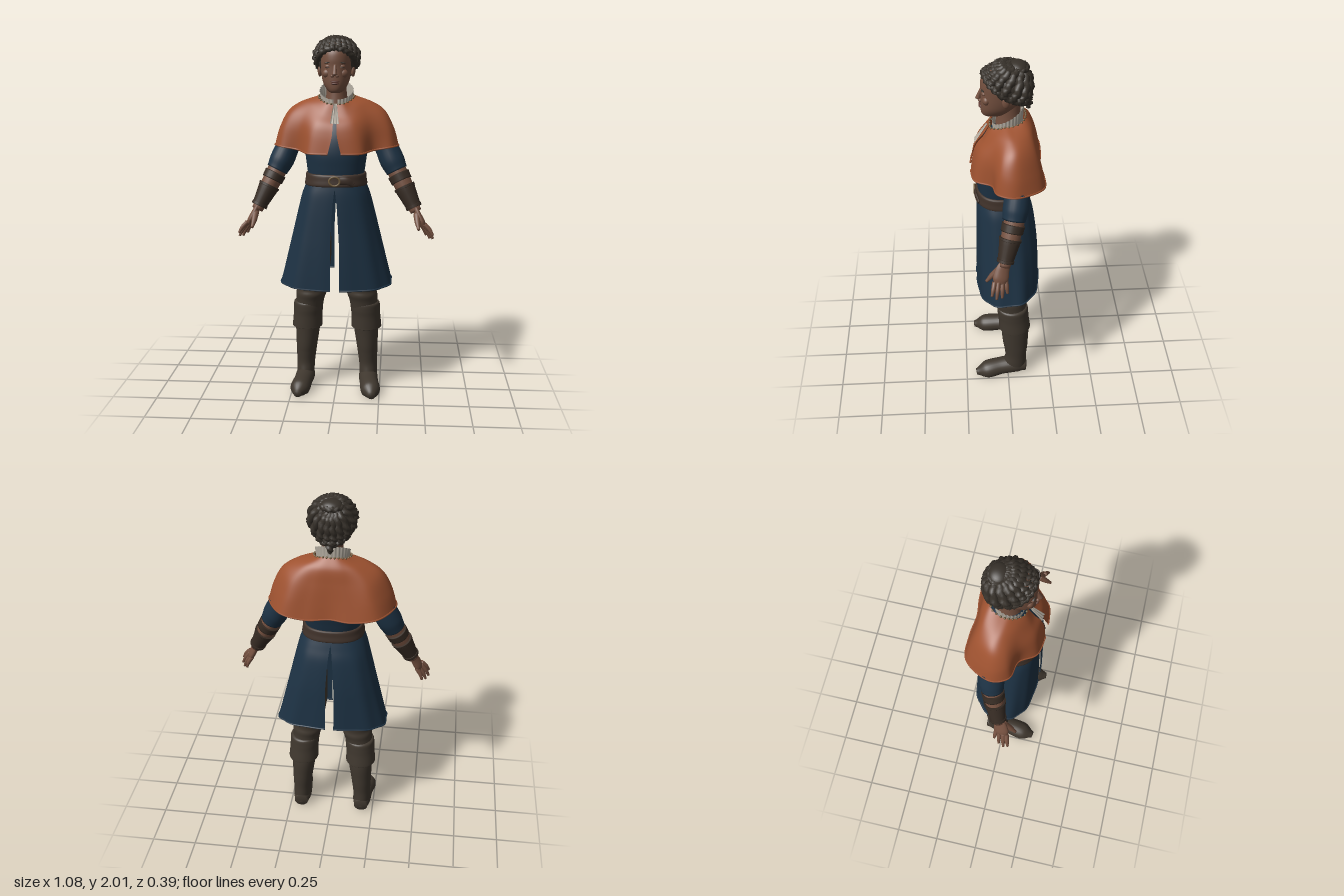
import * as THREE from 'three';

const V = (x, y, z) => new THREE.Vector3(x, y, z);
const mat = (name, color, side = THREE.FrontSide) => {
  const m = new THREE.MeshStandardMaterial({ color, side });
  m.name = name;
  return m;
};
const M = {
  skin: mat('skin', 0x74503f), lip: mat('lip', 0x5f3a32), hair: mat('hair', 0x37312a),
  cape: mat('orange cape wool', 0x9e5230, THREE.DoubleSide), coat: mat('navy coat', 0x1d3244, THREE.DoubleSide),
  linen: mat('linen', 0xb3aca0, THREE.DoubleSide), belt: mat('belt leather', 0x40322a),
  boot: mat('boot leather', 0x40382f), bracer: mat('bracer leather', 0x372c24), brass: mat('brass', 0x6e5a3c),
};

// Smooth interpolation through rows of numbers
function sample(rows, t) {
  const n = rows.length - 1, f = t * n, i = Math.min(Math.floor(f), n - 1), k = f - i;
  const r = j => rows[Math.max(0, Math.min(n, j))];
  return rows[0].map((_, c) => {
    const [p, a, b, q] = [r(i - 1)[c], r(i)[c], r(i + 1)[c], r(i + 2)[c]];
    return a + 0.5 * k * (b - p + k * (2 * p - 5 * a + 4 * b - q + k * (3 * (a - b) + q - p)));
  });
}

// Surface from a point rule; u runs around, v runs along
function grid(fn, nu, nv, closed) {
  const pos = [], idx = [], w = closed ? nu : nu + 1;
  for (let j = 0; j <= nv; j++) for (let i = 0; i < w; i++) pos.push(...fn(i / nu, j / nv).toArray());
  for (let j = 0; j < nv; j++) for (let i = 0; i < nu; i++) {
    const a = j * w + i, b = j * w + (i + 1) % w;
    idx.push(a, a + w, b, b, a + w, b + w);
  }
  const g = new THREE.BufferGeometry();
  g.setAttribute('position', new THREE.Float32BufferAttribute(pos, 3));
  g.setIndex(idx);
  g.computeVertexNormals();
  return g;
}

const pw = (x, p) => Math.sign(x) * Math.abs(x) ** p;
// Rounded ring of a row [y, halfWidth, zFront, zBack, centreX]
function ringPoint([y, hw, zf, zb, cx = 0], a, p) {
  return V(cx + hw * pw(Math.sin(a), p), y, (zf + zb) / 2 + (zf - zb) / 2 * pw(Math.cos(a), p));
}
const shell = (rows, { p = 1, nu = 40, nv = 40 } = {}) =>
  grid((u, v) => ringPoint(sample(rows, v), u * Math.PI * 2, p), nu, nv, true);

// Capped tube with changing radius; ref and flat squash it, twist makes a rope
function tube(pts, radii, { n = 24, sides = 16, ref, flat = 1, twist = 0, floor = false } = {}) {
  const curve = new THREE.CatmullRomCurve3(pts), fr = curve.computeFrenetFrames(n), rr = radii.map(r => [r]);
  return grid((u, v) => {
    const j = Math.round(v * (n + 2)), i = Math.max(0, Math.min(n, j - 1)), t = i / n, th = -u * Math.PI * 2;
    let N = fr.normals[i], B = fr.binormals[i];
    if (ref) {
      const T = fr.tangents[i];
      N = ref.clone().addScaledVector(T, -ref.dot(T)).normalize();
      B = T.clone().cross(N);
    }
    const cap = j === 0 || j === n + 2 ? 0 : 1;
    const r = cap * sample(rr, t)[0] * (twist ? 1 + 0.25 * Math.cos(2 * th + twist * t) : 1);
    const q = curve.getPoint(t).addScaledVector(N, r * Math.cos(th)).addScaledVector(B, r * flat * Math.sin(th));
    if (floor) q.y = Math.max(0, q.y);
    return q;
  }, sides, n + 2, true);
}

export function createModel() {
  const model = new THREE.Group();
  model.name = 'figure';
  const add = (name, geo, m) => {
    const mesh = new THREE.Mesh(geo, m);
    mesh.name = name;
    model.add(mesh);
    return mesh;
  };
  const ball = (name, m, x, y, z, rx, ry, rz) => {
    const b = add(name, new THREE.SphereGeometry(1, 24, 16), m);
    b.position.set(x, y, z);
    b.scale.set(rx, ry, rz);
    return b;
  };

  // Head, neck and face
  add('head', shell([[1.985, .01, .03, .0], [1.96, .06, .09, -.07], [1.92, .078, .122, -.09], [1.88, .083, .131, -.095],
    [1.84, .083, .13, -.09], [1.79, .078, .131, -.08], [1.75, .067, .131, -.05], [1.718, .047, .127, -.02],
    [1.703, .028, .112, .03], [1.7, .004, .08, .06]], { p: .92 }), M.skin);
  add('neck', shell([[1.78, .055, .045, -.075], [1.7, .055, .05, -.075], [1.6, .07, .06, -.08]], { nv: 8 }), M.skin);
  add('nose', tube([V(0, 1.85, .124), V(0, 1.82, .136), V(0, 1.797, .143)], [.009, .011, .014], { n: 10 }), M.skin);
  ball('upperLip', M.lip, 0, 1.764, .13, .024, .006, .011);
  ball('lowerLip', M.lip, 0, 1.753, .129, .021, .007, .011);
  for (const s of [1, -1]) {
    ball('nostril', M.skin, s * .013, 1.793, .132, .01, .008, .011);
    ball('cheek', M.skin, s * .042, 1.805, .102, .026, .024, .02);
    ball('eyelid', M.skin, s * .036, 1.842, .113, .018, .011, .012);
    ball('eye', M.bracer, s * .036, 1.838, .117, .014, .003, .009);
    ball('eyebrow', M.hair, s * .037, 1.862, .119, .02, .0035, .008).rotation.z = -s * .12;
    ball('ear', M.skin, s * .09, 1.815, .005, .012, .032, .02);
  }

  // Braided hair gathered into a bun
  ball('hairCap', M.hair, 0, 1.882, -.014, .11, .106, .108);
  const hairline = f => V(.1 * Math.sin(f), 1.858 + .077 * Math.cos(f), .112 * Math.cos(f) + .02 * Math.sin(f) ** 2);
  const centre = V(0, 1.87, -.008), knot = V(0, 1.965, -.056), braids = 18;
  for (let k = 0; k < braids; k++) {
    const start = hairline((k + .5) / braids * Math.PI * 2);
    const via = t => start.clone().lerp(knot, t).sub(centre).setLength(.116).add(centre);
    add('braid', tube([start, via(.3), via(.62), knot], [.018, .02, .018, .011], { n: 36, sides: 10, twist: 34 }), M.hair);
  }
  const rim = Array.from({ length: 33 }, (_, i) => hairline(i / 32 * Math.PI * 2));
  add('hairlineBraid', tube(rim, [.016, .016], { n: 120, sides: 10, twist: 130 }), M.hair);
  add('napeBraid', tube([V(0, 1.8, -.108), V(0, 1.765, -.116), V(0, 1.733, -.112)], [.02, .019, .009], { twist: 16 }), M.hair);
  ball('bun', M.hair, 0, 1.966, -.056, .058, .034, .052);
  const coil = Array.from({ length: 17 }, (_, i) => V(.05 * Math.sin(i * Math.PI / 8), 1.965, -.056 + .046 * Math.cos(i * Math.PI / 8)));
  add('bunCoil', tube(coil, [.014, .014], { n: 64, sides: 10, twist: 70 }), M.hair);

  // Pleated linen collar, low and open at the front
  add('collar', grid((u, v) => {
    const a = .12 + u * (Math.PI * 2 - .24), c = Math.cos(a), k = 1 - v, f = .0025 * Math.cos(a * 28) * k;
    return V((.083 + .008 * k + f) * Math.sin(a), 1.63 - .03 * c + k * (.082 - .018 * c), -.008 + (.078 + .004 * k + f) * c);
  }, 160, 8), M.linen);
  add('jabot', grid((u, v) => V((u - .5) * (.018 + .03 * v), 1.645 - .1 * v, .1 + .066 * v + .003 * Math.cos(u * 20)), 20, 8), M.linen);

  // Shoulder cape: half outlines from neck to hem, mirrored
  const levels = [
    [[.005, 1.64, .085], [.045, 1.645, .08], [.08, 1.66, .045], [.095, 1.675, .01], [.095, 1.68, -.03], [.075, 1.69, -.075], [.04, 1.7, -.095], [0, 1.7, -.1]],
    [[.008, 1.58, .118], [.07, 1.59, .112], [.13, 1.63, .06], [.18, 1.648, .005], [.187, 1.65, -.045], [.14, 1.65, -.108], [.07, 1.65, -.132], [0, 1.65, -.136]],
    [[.01, 1.53, .157], [.1, 1.54, .142], [.175, 1.57, .078], [.25, 1.59, .025], [.26, 1.6, -.05], [.195, 1.58, -.138], [.09, 1.57, -.152], [0, 1.57, -.152]],
    [[.015, 1.47, .177], [.12, 1.48, .158], [.195, 1.5, .088], [.29, 1.51, .042], [.312, 1.5, -.05], [.228, 1.49, -.162], [.11, 1.48, -.172], [0, 1.48, -.166]],
    [[.035, 1.385, .19], [.14, 1.385, .17], [.205, 1.395, .085], [.305, 1.41, .06], [.34, 1.41, -.04], [.258, 1.4, -.175], [.12, 1.38, -.193], [0, 1.385, -.18]],
  ].map(h => [...h, ...h.slice(0, 7).reverse().map(([x, y, z]) => [-x, y, z])]);
  const capePoint = (u, v) => V(...sample(levels.map(l => sample(l, u)), v));
  add('cape', grid(capePoint, 112, 28), M.cape);
  const capeEdge = v => Array.from({ length: 57 }, (_, i) => capePoint(i / 56, v));
  add('capeHem', tube(capeEdge(1), [.005, .005], { n: 112, sides: 6 }), M.cape);
  capeEdge(0).forEach((p, i) => { if (i % 2 === 0) ball('necklineBead', M.brass, p.x, p.y, p.z, .006, .006, .006); });

  // Coat body
  add('coatBody', shell([[1.64, .05, .03, -.06], [1.61, .1, .07, -.09], [1.55, .155, .115, -.12], [1.47, .172, .15, -.135],
    [1.38, .17, .165, -.135], [1.3, .16, .16, -.116], [1.24, .154, .154, -.104], [1.18, .17, .156, -.118]], { p: .85 }), M.coat);
  // Flared skirt in two panels, slit at front and back
  const skirt = [[1.22, .158, .154, -.105], [1.16, .184, .161, -.125], [1.08, .206, .164, -.148], [.94, .24, .166, -.166],
    [.8, .274, .168, -.174], [.645, .312, .168, -.179]];
  for (const s of [1, -1]) {
    const point = (u, v) => {
      const a = Math.PI * (s > 0 ? u : 1 + u), gap = .024 * Math.min(1, Math.max(0, v - .1) * 1.8), row = sample(skirt, v);
      const fold = 1 + .014 * Math.cos(a * 10) * v;
      row[1] *= fold; row[2] *= fold; row[3] *= fold;
      const q = ringPoint(row, a, .8);
      q.x = s * (gap + Math.abs(q.x) * (1 - gap / row[1]));
      q.y -= .022 * Math.cos(a) * v * v;
      return q;
    };
    add('skirtPanel', grid(point, 64, 30), M.coat);
    const hem = Array.from({ length: 41 }, (_, i) => point(i / 40, 1));
    add('skirtHem', tube(hem, [.005, .005], { n: 80, sides: 6 }), M.coat);
  }

  // Belt with buckle and tucked end
  add('belt', shell([[1.268, .15, .15, -.1], [1.264, .165, .164, -.114], [1.235, .168, .167, -.117], [1.205, .172, .168, -.121],
    [1.2, .158, .152, -.105]], { p: .85, nv: 16 }), M.belt);
  const buckle = add('buckle', new THREE.TorusGeometry(.024, .005, 8, 24), M.brass);
  buckle.position.set(0, 1.235, .172);
  buckle.scale.set(1.2, 1, 1);
  add('beltEnd', tube([V(.025, 1.238, .168), V(.07, 1.236, .164), V(.1, 1.215, .152)], [.02, .02, .014],
    { ref: V(0, 1, 0), flat: .4 }), M.belt);

  for (const s of [1, -1]) {
    const P = (x, y, z) => V(s * x, y, z);
    // Sleeve, forearm and leather bracer
    add('sleeve', tube([P(.13, 1.58, -.04), P(.195, 1.53, -.045), P(.262, 1.42, -.045), P(.306, 1.325, -.033), P(.334, 1.268, -.022)],
      [.05, .06, .063, .068, .06], { n: 32, sides: 24 }), M.coat);
    const along = y => P(.322 + (1.29 - y) * .5, y, -.03 + (1.29 - y) * .27);
    add('forearm', tube([along(1.3), along(1.18), along(1.05)], [.054, .05, .031], { sides: 20 }), M.skin);
    const cuff = (name, y0, y1, r0, r1) => add(name, tube([along(y0), along((y0 + y1) / 2), along(y1)], [r0, (r0 + r1) / 2, r1], { n: 8, sides: 24 }), M.bracer);
    cuff('bracerStrap', 1.25, 1.212, .061, .059);
    cuff('bracer', 1.182, 1.07, .057, .041);
    cuff('bracerTopEdge', 1.184, 1.172, .06, .059);
    cuff('bracerWristEdge', 1.084, 1.07, .046, .045);

    // Hand
    add('palm', tube([P(.434, 1.075, .028), P(.452, 1.035, .045), P(.472, .995, .055), P(.482, .972, .058)], [.029, .038, .042, .034],
      { ref: V(s * .2, 0, 1), flat: .48 }), M.skin);
    const fingers = [[.49, .99, .088, .535, .93, .104], [.487, .985, .068, .536, .908, .08],
      [.478, .98, .046, .521, .903, .05], [.468, .982, .028, .5, .915, .021]];
    for (const [x, y, z, X, Y, Z] of fingers)
      add('finger', tube([P(x, y, z), P((x + X) / 2 + .005, (y + Y) / 2, (z + Z) / 2), P(X, Y, Z)], [.0125, .0115, .007], { n: 12, sides: 10 }), M.skin);
    add('thumb', tube([P(.446, 1.04, .06), P(.45, 1.0, .1), P(.457, .967, .13)], [.019, .015, .008], { n: 12, sides: 10 }), M.skin);

    // Tall boot with folded cuff
    const leg = rows => rows.map(([y, w, f, b, x]) => [y, w, f, b, s * x]);
    add('leg', shell(leg([[1.02, .08, .08, -.1, .115], [.8, .094, .08, -.11, .124], [.68, .089, .078, -.11, .134], [.63, .087, .078, -.11, .138],
      [.59, .083, .07, -.106, .142], [.56, .086, .073, -.111, .146], [.52, .08, .062, -.107, .153], [.44, .076, .05, -.11, .162],
      [.34, .069, .038, -.122, .169], [.25, .061, .03, -.119, .175], [.2, .057, .022, -.116, .178], [.14, .052, .015, -.11, .181],
      [.09, .051, .022, -.109, .183], [.03, .05, .03, -.108, .184]]), { nv: 70, nu: 32 }), M.boot);
    add('bootCuff', shell(leg([[.515, .072, .05, -.1, .157], [.505, .083, .06, -.115, .162], [.47, .084, .059, -.119, .164],
      [.43, .083, .054, -.122, .167], [.37, .086, .051, -.13, .17], [.358, .084, .049, -.128, .17], [.36, .066, .035, -.115, .17]]), { nu: 32 }), M.boot);
    add('foot', tube([P(.182, .045, -.108), P(.183, .052, -.04), P(.19, .045, .045), P(.202, .03, .13), P(.209, .02, .192)],
      [.04, .054, .053, .054, .02], { ref: V(1, 0, 0), flat: .95, floor: true, n: 30, sides: 24 }), M.boot);
  }
  return model;
}
